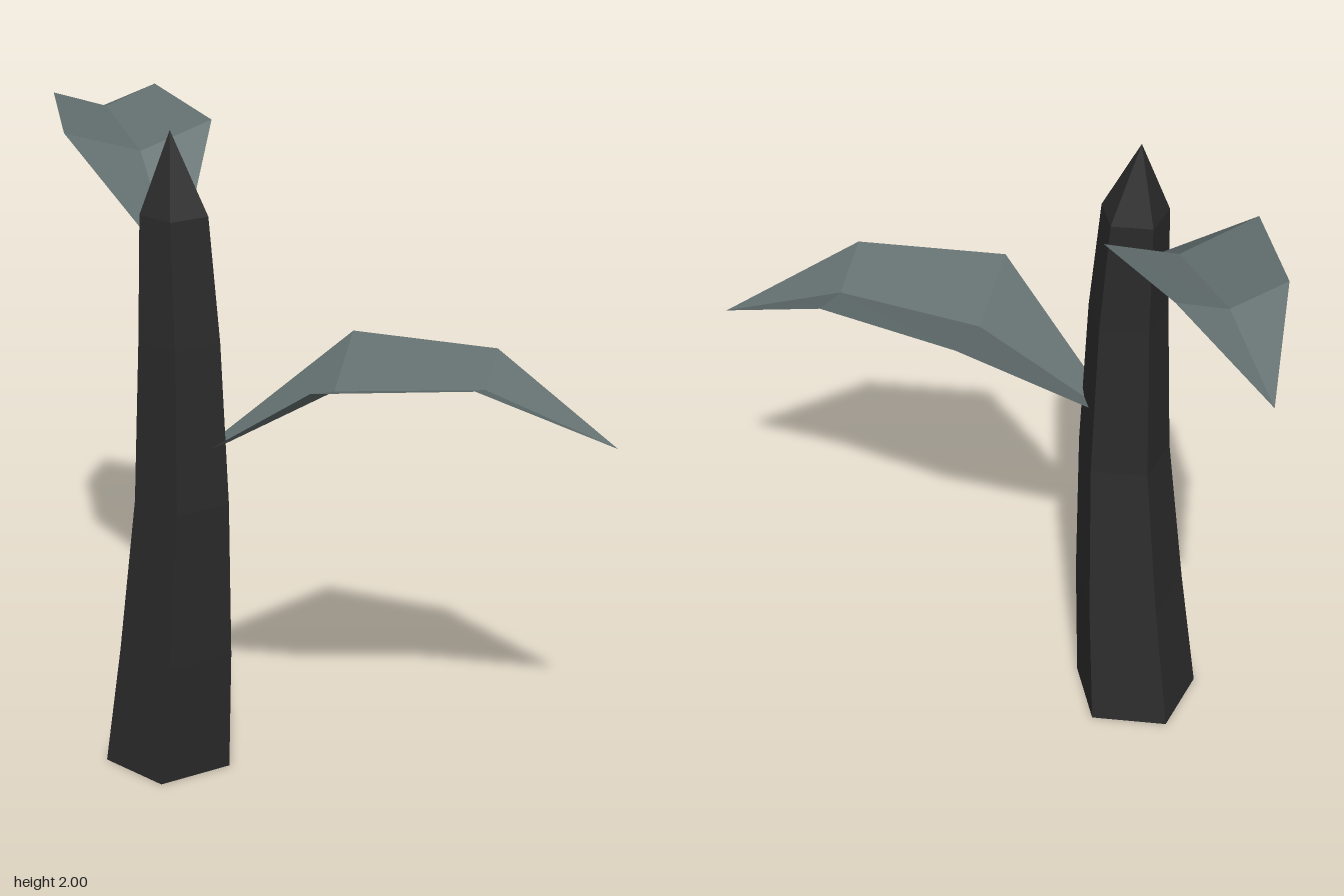
import * as THREE from 'three';

const barkMaterial = new THREE.MeshStandardMaterial({ color: 0x2b2b2b, flatShading: true });
barkMaterial.name = 'dark bark';
const leafMaterial = new THREE.MeshStandardMaterial({ color: 0x636f6f, flatShading: true, side: THREE.DoubleSide });
leafMaterial.name = 'grey green leaf';

const SIDES = 5;

function makeMesh(name, triangles, material) {
  const geometry = new THREE.BufferGeometry();
  geometry.setAttribute('position', new THREE.Float32BufferAttribute(triangles.flat(2), 3));
  geometry.computeVertexNormals();
  const mesh = new THREE.Mesh(geometry, material);
  mesh.name = name;
  return mesh;
}

// Bent five-sided stalk: rings of [x, y, z, radius] closed by a point on top
function makeStalk() {
  const rings = [
    [-0.355, 0, 0.228, 0.2],
    [-0.307, 0.4, 0.257, 0.177],
    [-0.267, 0.9, 0.28, 0.146],
    [-0.264, 1.4, 0.285, 0.124],
    [-0.282, 1.765, 0.27, 0.103],
  ];
  const tip = [-0.3, 2, 0.26];
  const corner = ([x, y, z, r], i) => {
    const a = ((i % SIDES) / SIDES) * Math.PI * 2;
    return [x + r * Math.cos(a), y, z + r * Math.sin(a)];
  };
  const triangles = [];
  for (let i = 0; i < SIDES; i++) {
    for (let k = 0; k < rings.length - 1; k++) {
      const a = corner(rings[k], i), b = corner(rings[k + 1], i);
      const c = corner(rings[k + 1], i + 1), d = corner(rings[k], i + 1);
      triangles.push([a, b, c], [a, c, d]);
    }
    const top = rings[rings.length - 1];
    triangles.push([corner(top, i), tip, corner(top, i + 1)]);
    triangles.push([corner(rings[0], i), corner(rings[0], i + 1), rings[0].slice(0, 3)]);
  }
  return makeMesh('stalk', triangles, barkMaterial);
}

// Folded leaf: a root point, cross-sections of [edge, midrib, edge], and a tip point
function makeLeaf(name, root, sections, tip) {
  const triangles = [];
  const [first, last] = [sections[0], sections[sections.length - 1]];
  for (let j = 0; j < 2; j++) {
    triangles.push([root, first[j + 1], first[j]]);
    for (let k = 0; k < sections.length - 1; k++) {
      const s = sections[k], n = sections[k + 1];
      triangles.push([s[j], s[j + 1], n[j + 1]], [s[j], n[j + 1], n[j]]);
    }
    triangles.push([last[j], last[j + 1], tip]);
  }
  return makeMesh(name, triangles, leafMaterial);
}

export function createModel() {
  const model = new THREE.Group();
  model.name = 'sprout';
  model.add(makeStalk());

  model.add(makeLeaf('lowerLeaf', [-0.265, 1.005, 0.28], [
    [[0.13, 1.365, -0.055], [0.18, 1.272, 0.205], [0.22, 1.362, 0.47]],
    [[0.58, 1.376, -0.05], [0.61, 1.315, 0.13], [0.645, 1.38, 0.315]],
  ], [0.985, 1.175, 0.07]));

  model.add(makeLeaf('upperLeaf', [-0.275, 1.585, 0.277], [
    [[-0.365, 1.925, -0.145], [-0.525, 1.85, 0.005], [-0.69, 1.925, 0.165]],
    [[-0.66, 1.955, -0.36], [-0.77, 1.9, -0.25], [-0.89, 1.955, -0.14]],
  ], [-0.985, 1.795, -0.47]));

  return model;
}
